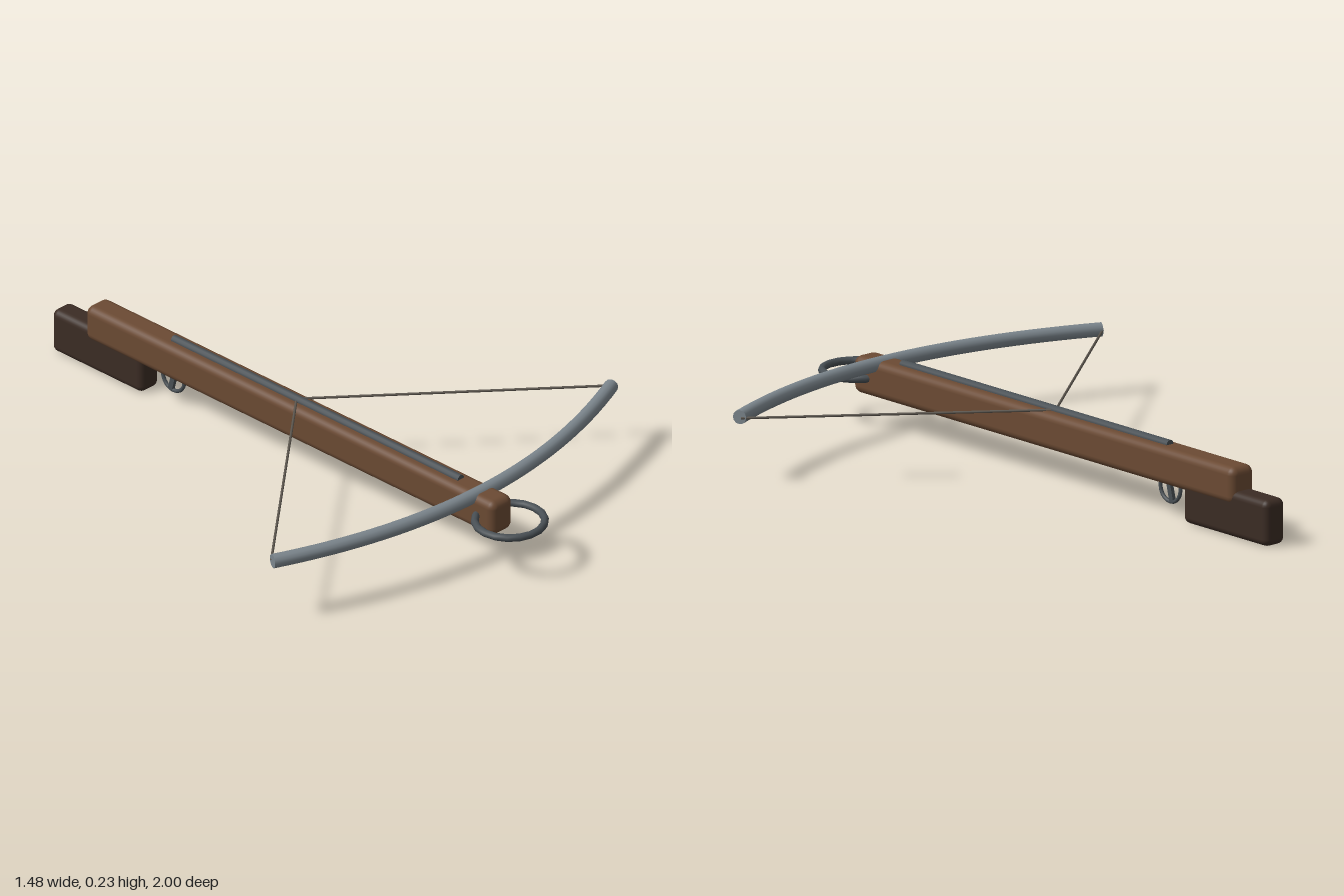
import * as THREE from 'three';
import { RoundedBoxGeometry } from 'three/addons/geometries/RoundedBoxGeometry.js';

const paint = (color) => new THREE.MeshStandardMaterial({ color });

export function createModel() {
  const model = new THREE.Group();
  const wood = paint(0x6b4a33);
  const darkWood = paint(0x3b2c24);
  const steel = paint(0x7b858c);
  const darkSteel = paint(0x484f54);
  const cord = paint(0x5c564e);

  const add = (name, geometry, material, x, y, z) => {
    const mesh = new THREE.Mesh(geometry, material);
    mesh.name = name;
    mesh.position.set(x, y, z);
    model.add(mesh);
    return mesh;
  };

  // Wooden tiller and shoulder stock
  add('stock', new RoundedBoxGeometry(0.092, 0.116, 1.71, 3, 0.025), wood, 0, 0.159, 0);
  add('butt', new RoundedBoxGeometry(0.08, 0.144, 0.38, 3, 0.022), darkWood, 0, 0.072, -0.81);

  // Bolt rail lying half sunk in the top of the stock
  add('boltRail', new THREE.CylinderGeometry(0.014, 0.014, 1.2, 12), darkSteel, 0, 0.217, 0.077)
    .rotation.x = Math.PI / 2;

  // Bow limbs: one swept bar with closed tips
  const bowY = 0.205, bowR = 0.022;
  const curve = new THREE.QuadraticBezierCurve3(
    new THREE.Vector3(-0.73, bowY, 0.598),
    new THREE.Vector3(0, bowY, 0.922),
    new THREE.Vector3(0.73, bowY, 0.598));
  add('bow', new THREE.TubeGeometry(curve, 32, bowR, 12), steel, 0, 0, 0);
  for (const t of [0, 1]) {
    const p = curve.getPoint(t);
    const outward = curve.getTangent(t).multiplyScalar(t ? 1 : -1);
    add(t ? 'leftBowTip' : 'rightBowTip', new THREE.CircleGeometry(bowR, 12), steel, p.x, p.y, p.z)
      .quaternion.setFromUnitVectors(new THREE.Vector3(0, 0, 1), outward);
  }

  // Drawn bowstring, one straight run per side
  for (const side of [-1, 1]) {
    const run = new THREE.LineCurve3(
      new THREE.Vector3(side * 0.73, 0.203, 0.592),
      new THREE.Vector3(0, 0.218, -0.01));
    add(side > 0 ? 'leftString' : 'rightString', new THREE.TubeGeometry(run, 1, 0.004, 8), cord, 0, 0, 0);
  }

  // Foot stirrup at the nose
  add('stirrup', new THREE.TorusGeometry(0.106, 0.012, 10, 18), darkSteel, 0, 0.157, 0.882)
    .rotation.x = Math.PI / 2;

  // Trigger and its round guard
  add('triggerGuard', new THREE.TorusGeometry(0.045, 0.006, 8, 20), darkSteel, 0, 0.084, -0.525)
    .rotation.y = Math.PI / 2;
  add('trigger', new THREE.BoxGeometry(0.012, 0.075, 0.017), darkSteel, 0, 0.076, -0.526)
    .rotation.x = 0.25;

  return model;
}
